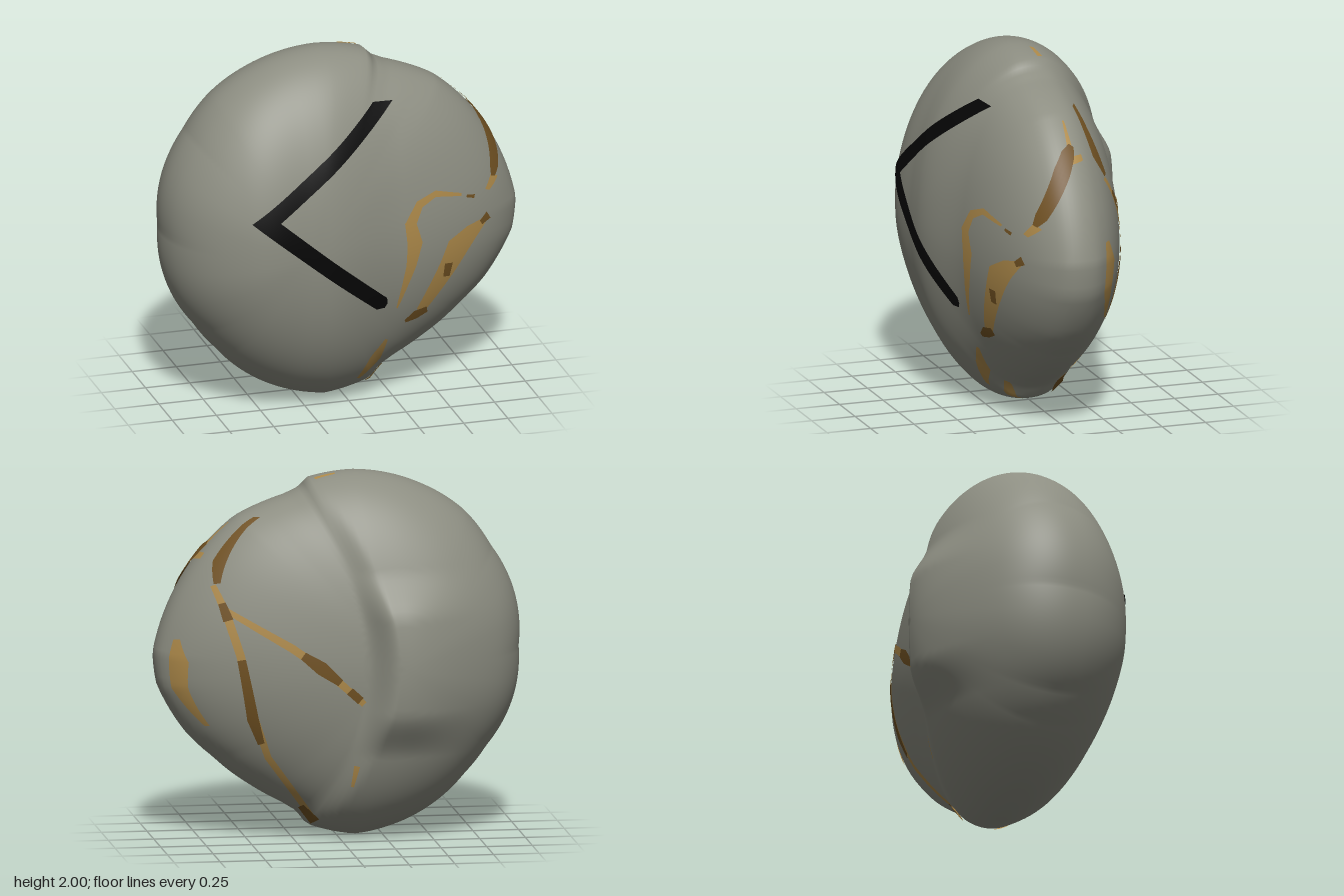
import * as THREE from 'three';

const stone = new THREE.MeshStandardMaterial({ color: 0x8d8e82 });
stone.name = 'stoneGrey';
const black = new THREE.MeshStandardMaterial({ color: 0x060606, side: THREE.DoubleSide });
black.name = 'carvedBlack';
const ochre = new THREE.MeshStandardMaterial({ color: 0xae8a4a, side: THREE.DoubleSide });
ochre.name = 'lightOchre';
const brown = new THREE.MeshStandardMaterial({ color: 0x705122, side: THREE.DoubleSide });
brown.name = 'darkOchre';

// Outline of the pebble, clockwise from the top, with the two chipped notches
const outline = [
  [-0.1, 2], [0.16, 1.96], [0.19, 1.91], [0.27, 1.87], [0.55, 1.76], [0.73, 1.59], [0.85, 1.42],
  [1, 1.02], [0.98, 0.85], [0.82, 0.58], [0.67, 0.44], [0.48, 0.29], [0.3, 0.19], [0.22, 0.14],
  [0.16, 0.06], [-0.1, 0], [-0.47, 0.12], [-0.7, 0.32], [-0.82, 0.47], [-1, 1.02], [-0.85, 1.57],
  [-0.7, 1.77], [-0.48, 1.91],
];
const C = new THREE.Vector3(-0.3, 1, 0.04);
const TAU = Math.PI * 2, N = 360;
const { lerp, smoothstep } = THREE.MathUtils;

// Radius of the outline by angle, and a softened copy for the inner faces
const polar = outline
  .map(([x, y]) => [(Math.atan2(y - C.y, x - C.x) + TAU) % TAU, Math.hypot(x - C.x, y - C.y)])
  .sort((a, b) => a[0] - b[0]);
const radii = Array.from({ length: N }, (_, i) => {
  const a = (i / N) * TAU;
  let k = polar.findIndex((p) => p[0] > a);
  if (k < 0) k = polar.length;
  const lo = polar[(k + polar.length - 1) % polar.length], hi = polar[k % polar.length];
  const span = (hi[0] - lo[0] + TAU) % TAU;
  return lo[1] + (hi[1] - lo[1]) * (((a - lo[0] + TAU) % TAU) / span);
});
const softRadii = radii.map((_, i) => {
  let sum = 0;
  for (let j = -14; j <= 14; j++) sum += radii[(i + j + N) % N];
  return sum / 29;
});
function lookup(table, angle) {
  const t = (((angle + TAU) % TAU) / TAU) * N, i = Math.floor(t);
  return lerp(table[i % N], table[(i + 1) % N], t - i);
}

// Half thickness: full on the left, worn down on the right, split off on the right of the back
function depth(x, y, z) {
  const front = 0.57 - 0.035 * smoothstep(x, -0.65, -0.3) - 0.055 * smoothstep(x, -0.2, 0.25);
  if (z > C.z) return lerp(0.535, front, smoothstep(z, C.z, 0.2));
  const h = Math.abs(y - 1), edge = -0.27 + 0.4 * h * h;
  const bulge = 0.08 * (1 - smoothstep(h, 0.25, 0.52)) * smoothstep(x, -0.85, -0.3);
  const split = smoothstep(x, edge, edge + 0.17);
  return lerp(0.535, lerp(0.54 + bulge, 0.49, split), smoothstep(-z, 0, 0.12));
}

// Negative inside the stone, positive outside
function field(p) {
  const dx = p.x - C.x, dy = p.y - C.y, r = Math.hypot(dx, dy), a = Math.atan2(dy, dx);
  const soft = lookup(softRadii, a);
  const s = r / lerp(soft, lookup(radii, a), Math.min(1, r / soft) ** 8);
  return s * s + ((p.z - C.z) / depth(p.x, p.y, p.z)) ** 2 - 1;
}
function normalAt(p) {
  const e = 0.012, n = new THREE.Vector3();
  for (const k of ['x', 'y', 'z']) {
    const a = p.clone(), b = p.clone();
    a[k] += e;
    b[k] -= e;
    n[k] = field(a) - field(b);
  }
  return n.normalize();
}
// Surface point between an inner and an outer point
function hit(inner, outer) {
  let a = 0, b = 1;
  const p = new THREE.Vector3();
  for (let i = 0; i < 26; i++) {
    const m = (a + b) / 2;
    if (field(p.lerpVectors(inner, outer, m)) < 0) a = m; else b = m;
  }
  return p.clone();
}

function makeStone() {
  const geo = new THREE.SphereGeometry(1, 160, 80).rotateX(Math.PI / 2);
  const pos = geo.attributes.position, nor = geo.attributes.normal;
  for (let i = 0; i < pos.count; i++) {
    const d = new THREE.Vector3().fromBufferAttribute(pos, i);
    d.z *= 0.52;
    const p = hit(C, C.clone().addScaledVector(d, 2.2)), n = normalAt(p);
    pos.setXYZ(i, p.x, p.y, p.z);
    nor.setXYZ(i, n.x, n.y, n.z);
  }
  return new THREE.Mesh(geo, stone);
}

// Each side projects flat (u, v) coordinates onto the stone
const project = {
  front: (u, v) => hit(new THREE.Vector3(u, v, C.z), new THREE.Vector3(u, v, 1)),
  back: (u, v) => hit(new THREE.Vector3(u, v, C.z), new THREE.Vector3(u, v, -1)),
  right: (u, v) => hit(new THREE.Vector3(C.x, v, u), new THREE.Vector3(1.4, v, u)),
  top: (u, v) => hit(new THREE.Vector3(u, C.y, v), new THREE.Vector3(u, 2.3, v)),
};

// Thin painted skin between two edge lines
function patch(name, side, material, edgeA, edgeB, lift) {
  const pts = [], nrm = [], idx = [], rows = [], across = 4;
  const cell = (i, t) => [edgeA, edgeB].map((e) => [0, 1].map((k) => lerp(e[i][k], e[i + 1][k], t)));
  for (let i = 0; i < edgeA.length - 1; i++) {
    const steps = Math.ceil(Math.hypot(edgeA[i + 1][0] - edgeA[i][0], edgeA[i + 1][1] - edgeA[i][1]) / 0.025) + 1;
    for (let j = i ? 1 : 0; j <= steps; j++) rows.push(cell(i, j / steps));
  }
  for (const [a, b] of rows) {
    for (let k = 0; k <= across; k++) {
      const p = project[side](lerp(a[0], b[0], k / across), lerp(a[1], b[1], k / across));
      const n = normalAt(p);
      pts.push(p.addScaledVector(n, lift));
      nrm.push(n);
    }
  }
  const tri = (a, b, c) => {
    const face = pts[b].clone().sub(pts[a]).cross(pts[c].clone().sub(pts[a]));
    if (face.dot(nrm[a]) > 0) idx.push(a, b, c); else idx.push(a, c, b);
  };
  for (let r = 0; r < rows.length - 1; r++) for (let k = 0; k < across; k++) {
    const a = r * (across + 1) + k, b = a + across + 1;
    tri(a, b, a + 1);
    tri(a + 1, b, b + 1);
  }
  const geo = new THREE.BufferGeometry().setFromPoints(pts);
  geo.setAttribute('normal', new THREE.Float32BufferAttribute(nrm.flatMap((n) => n.toArray()), 3));
  geo.setIndex(idx);
  const mesh = new THREE.Mesh(geo, material);
  mesh.name = name;
  return mesh;
}
// Vein along a centre line of [u, v, width]
function vein(name, side, material, line, lift) {
  const edge = (sign) => line.map(([u, v, w], i) => {
    const p = line[Math.max(0, i - 1)], q = line[Math.min(line.length - 1, i + 1)];
    const du = q[0] - p[0], dv = q[1] - p[1], l = Math.hypot(du, dv);
    return [u - (sign * dv * w) / l / 2, v + (sign * du * w) / l / 2];
  });
  return patch(name, side, material, edge(1), edge(-1), lift);
}

export function createModel() {
  const model = new THREE.Group();
  model.name = 'carvedStone';
  const body = makeStone();
  body.name = 'stone';
  model.add(body);

  // Angular mark on the front
  model.add(patch('markUpperArm', 'front', black, [[-0.63, 1.205], [0.11, 1.755]], [[-0.48, 1.205], [0.23, 1.74]], 0.009));
  model.add(patch('markLowerArm', 'front', black, [[-0.63, 1.205], [0.09, 0.605], [0.14, 0.605]], [[-0.48, 1.205], [0.15, 0.665], [0.155, 0.63]], 0.009));

  // Light mineral veins, then their dark cores
  const light = (side, ...line) => model.add(vein('lightVein', side, ochre, line, 0.005));
  const dark = (side, ...line) => model.add(vein('darkVein', side, brown, line, 0.008));

  // Front veins
  light('front', [0.22, 0.58, 0.01], [0.29, 0.83, 0.06], [0.31, 0.96, 0.09], [0.285, 1.08, 0.07], [0.34, 1.18, 0.05], [0.44, 1.22, 0.035], [0.6, 1.18, 0.015]);
  light('front', [0.37, 0.53, 0.06], [0.52, 0.78, 0.12], [0.575, 0.885, 0.15], [0.66, 0.95, 0.1], [0.75, 1, 0.03]);
  light('front', [0.05, 0.13, 0.02], [0.13, 0.26, 0.08], [0.18, 0.38, 0.02]);
  light('front', [0.13, 0.07, 0.04], [0.2, 0.18, 0.02]);
  dark('front', [0.28, 0.48, 0.02], [0.34, 0.51, 0.06], [0.41, 0.53, 0.04]);
  dark('front', [0.51, 0.72, 0.04], [0.52, 0.8, 0.05]);
  dark('front', [0.72, 0.99, 0.03], [0.77, 1.02, 0.05]);
  dark('front', [0.63, 1.165, 0.015], [0.68, 1.15, 0.02]);

  // Veins round the rim
  light('right', [0.29, 1.16, 0.02], [0.24, 1.22, 0.04]);
  light('right', [0.05, 1.55, 0.04], [-0.04, 1.56, 0.03]);
  light('right', [0.02, 1.6, 0.03], [0.015, 1.73, 0.01]);
  light('right', [-0.13, 1.12, 0.03], [-0.15, 1, 0.08], [-0.14, 0.85, 0.07], [-0.17, 0.65, 0.02]);
  light('top', [0.01, -0.01, 0.02], [0.12, -0.02, 0.03]);
  dark('right', [0.25, 1.22, 0.02], [0.22, 1.27, 0.05], [0.09, 1.5, 0.08], [0.04, 1.58, 0.07], [0.01, 1.62, 0.03]);
  dark('right', [-0.09, 1.77, 0.02], [-0.14, 1.55, 0.05], [-0.19, 1.43, 0.02]);

  // Two long veins branching across the back
  light('back', [0.7, 1.42, 0.03], [0.645, 1.29, 0.045], [0.57, 1.05, 0.045], [0.51, 0.75, 0.045], [0.41, 0.48, 0.035], [0.13, 0.1, 0.03]);
  light('back', [0.65, 1.3, 0.03], [0.3, 1.1, 0.045], [0.1, 0.96, 0.045], [-0.09, 0.79, 0.035]);
  light('back', [-0.06, 0.44, 0.03], [-0.04, 0.32, 0.015]);
  dark('back', [0.66, 1.33, 0.04], [0.63, 1.24, 0.055]);
  dark('back', [0.565, 1.03, 0.045], [0.5, 0.7, 0.06], [0.45, 0.56, 0.035]);
  dark('back', [0.21, 0.19, 0.03], [0.13, 0.1, 0.05]);
  dark('back', [0.24, 1.06, 0.045], [0.14, 0.99, 0.075], [0.04, 0.91, 0.04]);
  dark('back', [-0.01, 0.865, 0.045], [-0.07, 0.81, 0.045]);
  return model;
}
